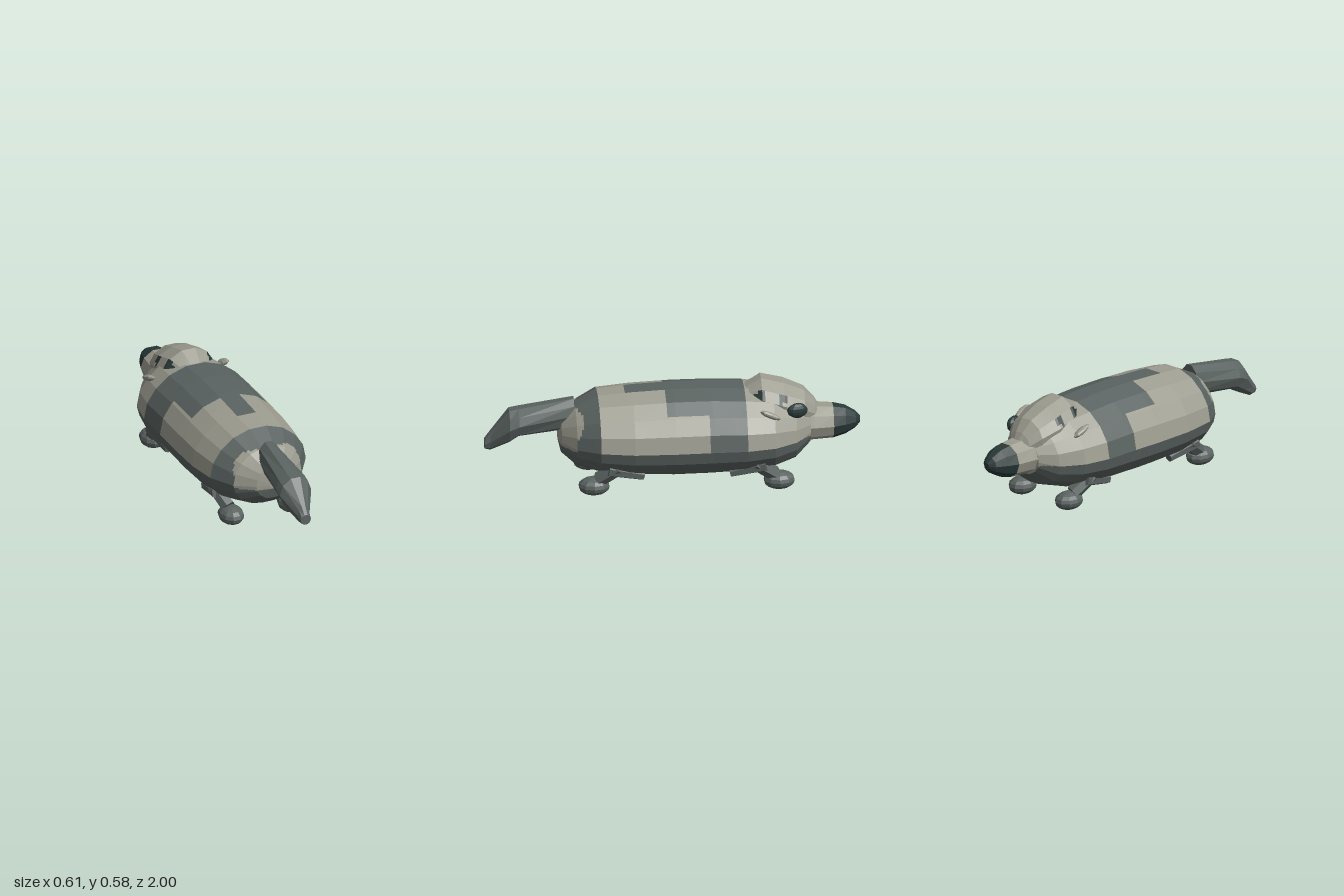
import * as THREE from 'three';

const paint = (name, color) => {
  const m = new THREE.MeshStandardMaterial({ color, flatShading: true });
  m.name = name;
  return m;
};

// Closed ring from a right-hand half outline: u = share of half width, v = 0 bottom to 1 top
function ring(half, [z, w, y0, y1]) {
  const at = (s, [u, v]) => new THREE.Vector3(s * u * w, y0 + v * (y1 - y0), z);
  return [...half.map(p => at(1, p)), ...half.slice().reverse().map(p => at(-1, p))];
}

// Skin over rings running toward -z, cut into small cells; pick(p) chooses the material of each cell
function loft(name, half, stations, pick, nu = 1, nv = 1) {
  const rings = stations.map(s => ring(half, s));
  const n = rings[0].length;
  const buckets = new Map();
  const add = (mat, ...pts) => {
    if (!buckets.has(mat)) buckets.set(mat, []);
    pts.forEach(p => buckets.get(mat).push(p.x, p.y, p.z));
  };
  const point = (i, j, s, t) => {
    const k = (j + 1) % n;
    const a = rings[i][j].clone().lerp(rings[i][k], t);
    return a.lerp(rings[i + 1][j].clone().lerp(rings[i + 1][k], t), s);
  };
  for (let i = 0; i < rings.length - 1; i++) for (let j = 0; j < n; j++)
    for (let u = 0; u < nu; u++) for (let v = 0; v < nv; v++) {
      const a = point(i, j, u / nu, v / nv), b = point(i, j, u / nu, (v + 1) / nv);
      const c = point(i, j, (u + 1) / nu, (v + 1) / nv), d = point(i, j, (u + 1) / nu, v / nv);
      const mid = a.clone().add(c).multiplyScalar(0.5);
      add(pick(mid), a, b, d, b, c, d);
    }
  // End caps
  [[rings[0], false], [rings[rings.length - 1], true]].forEach(([r, back]) => {
    const c = r.reduce((s, p) => s.add(p), new THREE.Vector3()).divideScalar(n);
    r.forEach((p, j) => {
      const q = r[(j + 1) % n];
      back ? add(pick(c), c, p, q) : add(pick(c), c, q, p);
    });
  });
  const group = new THREE.Group();
  group.name = name;
  buckets.forEach((pos, mat) => {
    const g = new THREE.BufferGeometry();
    g.setAttribute('position', new THREE.Float32BufferAttribute(pos, 3));
    g.computeVertexNormals();
    const mesh = new THREE.Mesh(g, mat);
    mesh.name = `${name} ${mat.name}`;
    group.add(mesh);
  });
  return group;
}

// Tapered limb between two points
function limb(name, mat, from, to, r0, r1) {
  const a = new THREE.Vector3(...from), b = new THREE.Vector3(...to);
  const mesh = new THREE.Mesh(new THREE.CylinderGeometry(r1, r0, a.distanceTo(b), 6), mat);
  mesh.position.copy(a).lerp(b, 0.5);
  mesh.quaternion.setFromUnitVectors(new THREE.Vector3(0, 1, 0), b.sub(a).normalize());
  mesh.name = name;
  return mesh;
}

function ball(name, mat, pos, scale, w = 10, h = 8) {
  const mesh = new THREE.Mesh(new THREE.SphereGeometry(1, w, h), mat);
  mesh.position.set(...pos);
  mesh.scale.set(...scale);
  mesh.name = name;
  return mesh;
}

export function createModel() {
  const model = new THREE.Group();
  model.name = 'animal';
  const light = paint('pale fur', 0x9c9c90);
  const dark = paint('dark fur', 0x5a6361);
  const black = paint('nose black', 0x2a3939);

  // Barrel body with pale patches and a dark saddle
  const barrel = [[0.18, 1], [0.51, 0.926], [0.77, 0.787], [0.94, 0.617], [1, 0.42],
    [0.94, 0.277], [0.77, 0.138], [0.46, 0.032], [0.18, 0]];
  const coat = p => {
    const ax = Math.abs(p.x);
    if (p.z > 0.4) {
      const inside = (ax / 0.195) ** 3 + (Math.abs(p.y - 0.28) / 0.17) ** 3 < 1;
      return p.y > 0.25 && inside ? light : dark;
    }
    if (p.y < 0.272) return dark;
    if (p.z < -0.375) return light;
    if (p.z < -0.18) return dark;
    if (p.z < 0.05) return p.y < 0.45 ? light : dark;
    return ax < 0.05 && p.z < 0.25 && p.y > 0.4 ? dark : light;
  };
  model.add(loft('body', barrel, [
    [0.61, 0.03, 0.25, 0.31], [0.595, 0.1, 0.19, 0.385], [0.52, 0.2, 0.13, 0.455],
    [0.4, 0.28, 0.1, 0.515], [0.22, 0.303, 0.08, 0.53], [0, 0.305, 0.07, 0.54],
    [-0.2, 0.303, 0.072, 0.54], [-0.38, 0.303, 0.08, 0.53], [-0.53, 0.275, 0.095, 0.51],
    [-0.65, 0.2, 0.13, 0.46], [-0.73, 0.12, 0.205, 0.41],
  ], coat, 10, 6));

  // Raised head with small dark marks at its edges
  const dome = [[0.28, 1], [0.78, 0.76], [1, 0.45], [0.9, 0]];
  const marks = p => {
    const side = Math.abs(p.x) > 0.105 && p.y > 0.47;
    return side && ((p.z < -0.43 && p.z > -0.49) || (p.z < -0.56 && p.z > -0.61)) ? black : light;
  };
  model.add(loft('head', dome, [
    [-0.38, 0.09, 0.46, 0.525], [-0.47, 0.14, 0.42, 0.578], [-0.59, 0.15, 0.38, 0.548],
    [-0.7, 0.12, 0.35, 0.5], [-0.755, 0.08, 0.33, 0.44], [-0.785, 0.045, 0.31, 0.39],
  ], marks, 8, 3));

  // Snout and nose share a round outline
  const round = [0.5, 1.5, 2.5, 3.5, 4.5].map(k => {
    const a = k * Math.PI / 5;
    return [Math.sin(a), 0.5 + Math.cos(a) / 2];
  });
  model.add(loft('snout', round, [
    [-0.68, 0.12, 0.2, 0.42], [-0.75, 0.115, 0.21, 0.41], [-0.855, 0.1, 0.215, 0.402],
  ], () => light));
  model.add(loft('nose', round, [
    [-0.855, 0.1, 0.215, 0.402], [-0.92, 0.078, 0.233, 0.388],
    [-0.975, 0.048, 0.265, 0.355], [-1, 0.018, 0.293, 0.328],
  ], () => black));

  // Single bulging eye
  const eye = ball('eye', black, [0.14, 0.428, -0.655], [0.028, 0.042, 0.058]);
  eye.rotation.y = 0.25;
  model.add(eye);

  // Bent tail
  const tailRing = [[0.3, 1], [0.8, 0.8], [1, 0.5], [0.75, 0.15], [0.28, 0]];
  model.add(loft('tail', tailRing, [
    [1, 0.03, 0.215, 0.27], [0.97, 0.035, 0.208, 0.31], [0.87, 0.092, 0.255, 0.433],
    [0.82, 0.093, 0.288, 0.442], [0.525, 0.062, 0.32, 0.49],
  ], () => dark));

  for (const s of [1, -1]) {
    // Ears lying back against the sides
    const ear = ball('ear', light, [s * 0.217, 0.438, -0.505], [0.028, 0.017, 0.06], 8, 6);
    ear.rotation.set(-0.42, 0, s * 0.35);
    model.add(ear);

    // Legs, front and hind pairs mirrored about the middle of the body
    for (const [name, d] of [['hindLeg', 1], ['frontLeg', -1]]) {
      const z = k => -0.062 + d * k;
      const leg = new THREE.Group();
      leg.name = name;
      leg.add(
        limb('thigh', dark, [s * 0.2, 0.11, z(0.23)], [s * 0.215, 0.155, z(0.42)], 0.026, 0.036),
        limb('shin', dark, [s * 0.215, 0.165, z(0.36)], [s * 0.178, 0.085, z(0.47)], 0.036, 0.042),
        ball('foot', dark, [s * 0.173, 0.05, z(0.493)], [0.068, 0.05, 0.085]),
      );
      model.add(leg);
    }
  }
  return model;
}
